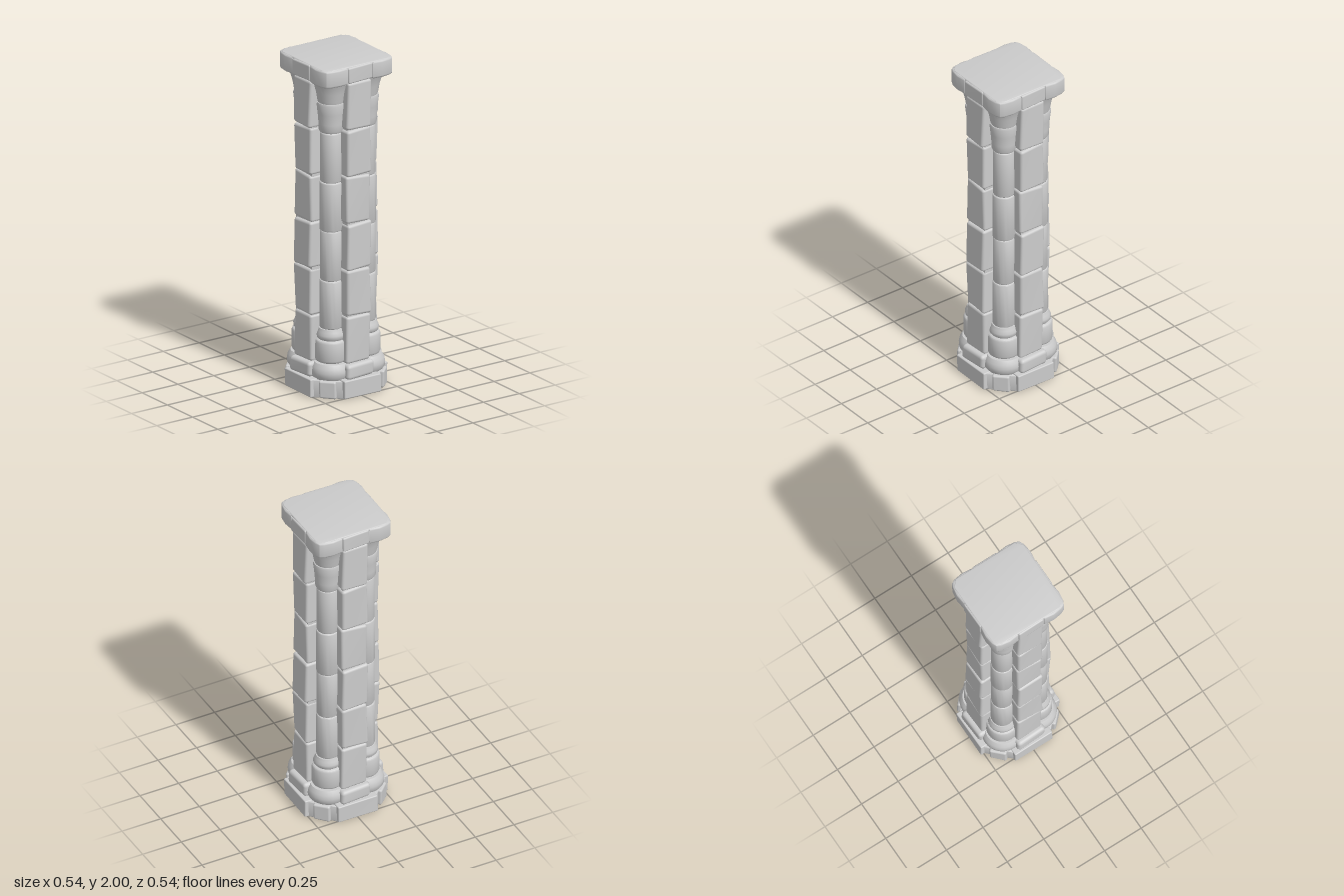
import * as THREE from 'three';
import { RoundedBoxGeometry } from 'three/addons/geometries/RoundedBoxGeometry.js';
import { mergeVertices, toCreasedNormals } from 'three/addons/utils/BufferGeometryUtils.js';

const stone = new THREE.MeshStandardMaterial({ color: 0xcccccc });
const CORNER = 0.115; // x and z of the corner shafts

function add(parent, name, geometry, x = 0, y = 0, z = 0) {
  const mesh = new THREE.Mesh(geometry, stone);
  mesh.name = name;
  mesh.position.set(x, y, z);
  parent.add(mesh);
  return mesh;
}

// Hand-cut block: rounded box whose corners wander a little
function block(w, h, d, radius, seed, wear = 0.004) {
  let g = new RoundedBoxGeometry(w, h, d, 3, radius);
  g.deleteAttribute('normal');
  g.deleteAttribute('uv');
  g = mergeVertices(g);
  const p = g.attributes.position;
  for (let i = 0; i < p.count; i++) {
    const x = p.getX(i), y = p.getY(i), z = p.getZ(i);
    p.setXYZ(i,
      x + wear * Math.sin(seed * 2.3 + y * 17 + z * 9),
      y + wear * Math.sin(seed * 3.7 + x * 21),
      z + wear * Math.sin(seed * 1.9 + y * 13 + x * 19));
  }
  g.computeVertexNormals();
  return g;
}

// Turned stone: profile of [radius, y] pairs
function turned(profile) {
  const g = new THREE.LatheGeometry(profile.map(([r, y]) => new THREE.Vector2(r, y)), 28);
  return toCreasedNormals(g, 0.7);
}

// Drum with softened rims
function drum(r, y0, y1, e = 0.01) {
  return turned([[0, y0], [r - e, y0], [r - e * 0.3, y0 + e * 0.4], [r, y0 + e * 1.2],
    [r, y1 - e * 1.2], [r - e * 0.3, y1 - e * 0.4], [r - e, y1], [0, y1]]);
}

// Horizontal slab from an outline in x and z
function slab(points, y0, y1, bevel) {
  const shape = new THREE.Shape(points.map(([x, z]) => new THREE.Vector2(x, -z)));
  const g = new THREE.ExtrudeGeometry(shape, {
    depth: y1 - y0 - 2 * bevel, bevelEnabled: bevel > 0, bevelSize: bevel,
    bevelThickness: bevel, bevelOffset: -bevel, bevelSegments: 3,
  });
  g.rotateX(-Math.PI / 2);
  g.translate(0, y0 + bevel, 0);
  return toCreasedNormals(g, 0.6);
}

// Square outline with cut corners
function cutSquare(h, c) {
  return [[c, h], [h, c], [h, -c], [c, -h], [-c, -h], [-h, -c], [-h, c], [-c, h]];
}

// One side: pilaster, its base and cap stone
function buildSide() {
  const side = new THREE.Group();
  side.name = 'side';
  add(side, 'basePlate', block(0.256, 0.108, 0.12, 0.007, 1, 0.002), 0, 0.056, 0.21);
  add(side, 'baseStone', block(0.19, 0.09, 0.16, 0.022, 2), 0, 0.153, 0.178);

  const joints = [0.195, 0.48, 0.76, 1.04, 1.325, 1.61, 1.9];
  for (let i = 0; i < joints.length - 1; i++) {
    const h = joints[i + 1] - joints[i];
    const reach = [0.232, 0.236, 0.24][i % 3];
    add(side, 'pilasterStone', block(0.165, h - 0.004, 0.12, 0.016, i + 3),
      -0.002, joints[i] + h / 2, reach - 0.06);
  }
  add(side, 'pilasterCore', new THREE.BoxGeometry(0.148, 1.8, 0.12), 0, 1, 0.16);
  add(side, 'capStone', block(0.17, 0.096, 0.1, 0.01, 12, 0.002), 0, 1.948, 0.197);
  return side;
}

// One corner: plinth, moulded base, shaft and flared capital
function buildCorner() {
  const corner = new THREE.Group();
  corner.name = 'corner';
  const plinth = add(corner, 'plinth', block(0.1, 0.105, 0.1, 0.012, 4, 0.002), 0.167, 0.054, 0.167);
  plinth.rotation.y = Math.PI / 4;

  const round = (name, geometry) => add(corner, name, geometry, CORNER, 0, CORNER);
  round('lowerMoulding', turned([[0, 0.1], [0.105, 0.105], [0.118, 0.125], [0.12, 0.15],
    [0.115, 0.175], [0.1, 0.198], [0, 0.2]]));
  round('baseDrum', drum(0.093, 0.2, 0.335, 0.014));
  round('upperMoulding', turned([[0, 0.33], [0.072, 0.332], [0.083, 0.345], [0.084, 0.365],
    [0.076, 0.382], [0.07, 0.4], [0, 0.402]]));

  const joints = [0.4, 0.69, 0.99, 1.285, 1.585];
  for (let i = 0; i < joints.length - 1; i++) {
    round('shaftDrum', drum(i % 2 ? 0.064 : 0.067, joints[i], joints[i + 1], 0.007));
  }

  round('capitalNeck', turned([[0, 1.585], [0.066, 1.588], [0.072, 1.6], [0.073, 1.64],
    [0.078, 1.7], [0.085, 1.755], [0.082, 1.768], [0, 1.77]]));
  round('capitalFlare', turned([[0, 1.765], [0.076, 1.766], [0.081, 1.785], [0.089, 1.83],
    [0.102, 1.875], [0.117, 1.91], [0, 1.912]]));

  // Cap stone with a worn outer corner
  add(corner, 'capCorner', slab([[0.088, 0.1], [0.088, 0.243], [0.15, 0.25], [0.205, 0.242],
    [0.23, 0.23], [0.242, 0.205], [0.25, 0.15], [0.243, 0.088], [0.1, 0.088]], 1.894, 1.998, 0.012));
  return corner;
}

export function createModel() {
  const model = new THREE.Group();
  model.name = 'stoneColumn';

  add(model, 'core', new THREE.BoxGeometry(0.28, 1.85, 0.28), 0, 1, 0);
  add(model, 'foundation', slab(cutSquare(0.255, 0.12), 0, 0.105, 0.004));
  add(model, 'baseCore', slab(cutSquare(0.215, 0.13), 0.1, 0.185, 0.01));
  add(model, 'capTop', slab(cutSquare(0.238, 0.2), 1.91, 2, 0.006));

  for (let i = 0; i < 4; i++) {
    const quarter = new THREE.Group();
    quarter.name = 'quarter';
    quarter.add(buildSide(), buildCorner());
    quarter.rotation.y = i * Math.PI / 2;
    model.add(quarter);
  }
  return model;
}
